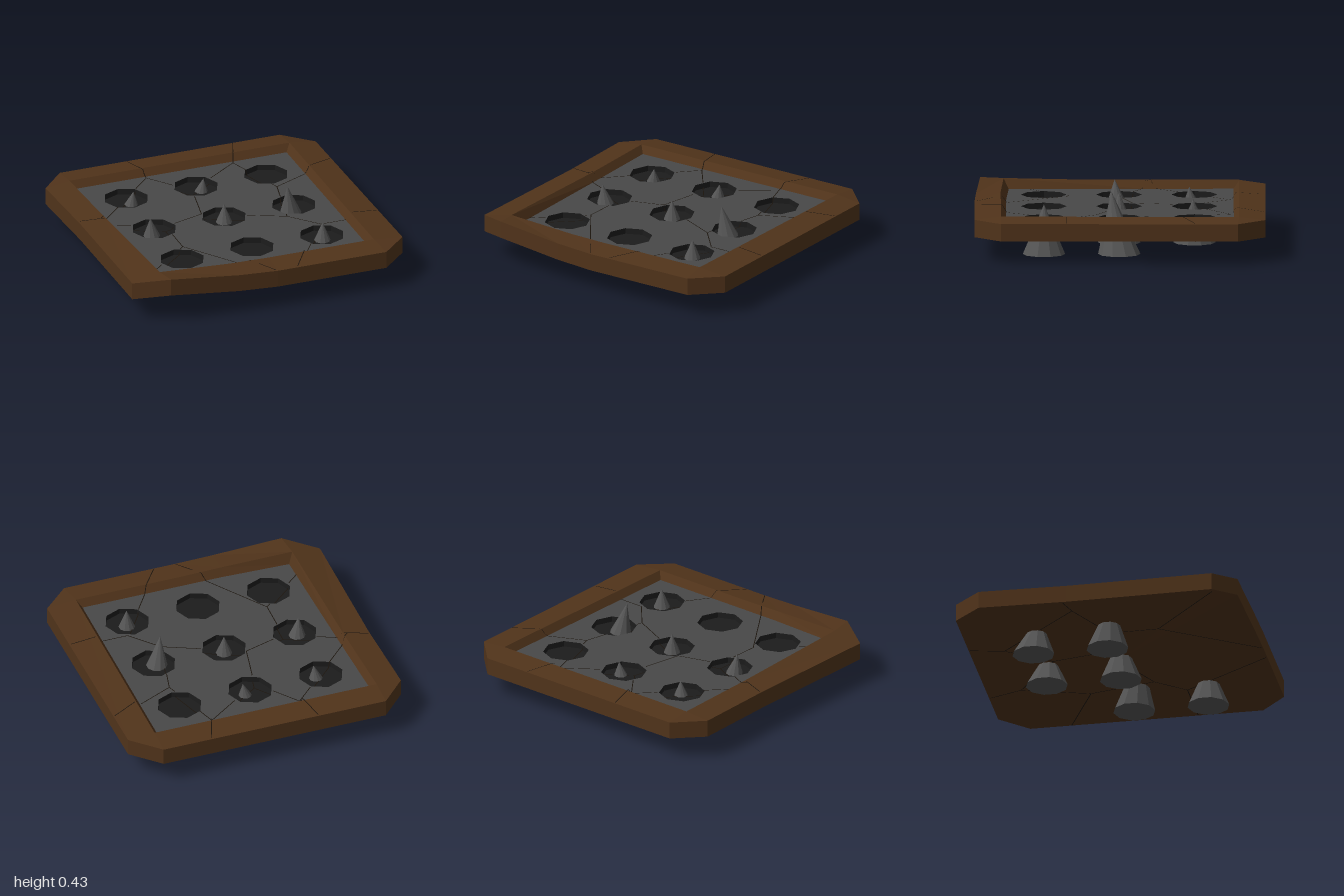
import * as THREE from 'three';

const PANEL_Y = 0.25, FLOOR_Y = 0.21, BOTTOM_Y = 0.16, HOLE_R = 0.157;
const GRID = [-0.515, 0, 0.515];

const material = (color, extra = {}) => new THREE.MeshStandardMaterial({ color, flatShading: true, ...extra });
const wood = material(0x50331a);
const stone = material(0x484848);
const pit = material(0x1c1c1c, { side: THREE.DoubleSide });
const metal = material(0x555555);
const crackDark = material(0x1a130c, { side: THREE.DoubleSide });

function addMesh(parent, name, geometry, mat) {
  const mesh = new THREE.Mesh(geometry, mat);
  mesh.name = name;
  parent.add(mesh);
  return mesh;
}

function fromPositions(positions) {
  const g = new THREE.BufferGeometry();
  g.setAttribute('position', new THREE.Float32BufferAttribute(positions, 3));
  g.computeVertexNormals();
  return g;
}

// Frame outline: outer x, z, lift of the warped corner, then inner x, z, lift
const OUTLINE = [
  [-0.81, -1, 0, -0.81, -0.82, 0], [0.81, -1, 0, 0.81, -0.82, 0],
  [1, -0.81, 0, 0.81, -0.82, 0], [0.99, 0.81, 0, 0.78, 0.81, 0],
  [0.8, 0.99, 0, 0.78, 0.81, 0], [0, 0.99, 0, 0, 0.81, 0],
  [-0.28, 0.98, 0.012, -0.28, 0.81, 0.005], [-0.77, 0.95, 0.052, -0.79, 0.79, 0.022],
  [-1, 0.81, 0.002, -0.79, 0.79, 0.022], [-0.98, -0.2, 0, -0.8, -0.2, 0],
  [-0.99, -0.81, 0, -0.81, -0.82, 0],
];

// Stacked loops: underside centre, outer bottom, outer top, inner lip, panel edge
function frameGeometry() {
  const rings = [
    OUTLINE.map(() => [0, BOTTOM_Y, 0]),
    OUTLINE.map(([x, z, l]) => [x, BOTTOM_Y + l, z]),
    OUTLINE.map(([x, z, l]) => [x, 0.28 + l, z]),
    OUTLINE.map(([, , , x, z, l]) => [x, 0.3 + l, z]),
    OUTLINE.map(([, , , x, z]) => [x * 0.955, PANEL_Y, z * 0.955]),
  ];
  const pos = [], n = OUTLINE.length;
  for (let r = 0; r < rings.length - 1; r++) {
    for (let i = 0; i < n; i++) {
      const j = (i + 1) % n, lo = rings[r], hi = rings[r + 1];
      pos.push(...lo[i], ...hi[i], ...hi[j]);
      if (r > 0) pos.push(...lo[i], ...hi[j], ...lo[j]);
    }
  }
  return fromPositions(pos);
}

// Panel with nine octagonal openings
function panelGeometry() {
  const shape = new THREE.Shape(OUTLINE.map(([, , , x, z]) => new THREE.Vector2(x * 0.955, -z * 0.955))
    .filter((p, i, all) => i === 0 || !all.slice(0, i).some(q => q.distanceTo(p) < 1e-6)));
  for (const x of GRID) for (const z of GRID) {
    const pts = [];
    for (let i = 0; i < 8; i++) {
      const a = i * Math.PI / 4;
      pts.push(new THREE.Vector2(x + HOLE_R * Math.cos(a), -z + HOLE_R * Math.sin(a)));
    }
    shape.holes.push(new THREE.Path(pts));
  }
  return new THREE.ShapeGeometry(shape).rotateX(-Math.PI / 2).translate(0, PANEL_Y, 0);
}

// Cone standing on the ground, its tip leaning by (dx, dz)
function spikeGeometry(height, dx, dz) {
  const g = new THREE.ConeGeometry(0.145, height, 10).translate(0, height / 2, 0);
  const p = g.attributes.position;
  for (let i = 0; i < p.count; i++) {
    const t = p.getY(i) / height;
    p.setX(i, p.getX(i) + dx * t);
    p.setZ(i, p.getZ(i) + dz * t);
  }
  g.computeVertexNormals();
  return g;
}

// Height of the upper surface, used to lay the cracks on it
function topY(x, z) {
  const m = Math.max(Math.abs(x), Math.abs(z));
  if (m > 0.8) return 0.3 - 0.1 * (m - 0.8);
  if (m > 0.77) return PANEL_Y + (m - 0.77) / 0.03 * 0.05;
  const inHole = GRID.some(a => GRID.some(b => Math.hypot(x - a, z - b) < HOLE_R - 0.006));
  return inHole ? FLOOR_Y : PANEL_Y;
}

// Narrow ribbon following a polyline across a surface
function crackGeometry(points, height) {
  const pos = [], half = 0.003;
  for (let k = 0; k < points.length - 1; k++) {
    const [x0, z0] = points[k], [x1, z1] = points[k + 1];
    const len = Math.hypot(x1 - x0, z1 - z0), steps = Math.ceil(len / 0.02);
    const nx = -(z1 - z0) / len * half, nz = (x1 - x0) / len * half;
    const at = (i, s) => {
      const x = x0 + (x1 - x0) * i / steps, z = z0 + (z1 - z0) * i / steps;
      return [x + nx * s, height(x, z), z + nz * s];
    };
    for (let i = 0; i < steps; i++) {
      pos.push(...at(i, -1), ...at(i, 1), ...at(i + 1, 1));
      pos.push(...at(i, -1), ...at(i + 1, 1), ...at(i + 1, -1));
    }
  }
  return fromPositions(pos);
}

const CRACKS = [
  [[-0.32, -0.99], [-0.27, -0.76], [-0.05, -0.46], [0.37, -0.76], [0.46, -0.99]],
  [[0.37, -0.76], [0.51, -0.3], [0.4, 0.16], [0.57, 0.36], [0.15, 0.98]],
  [[0.51, -0.3], [0.99, -0.52]],
  [[0.57, 0.36], [0.98, 0.36]],
  [[-0.05, -0.46], [-0.13, -0.09], [0.4, 0.16]],
  [[-0.13, -0.09], [-0.43, 0], [-0.83, -0.19], [-0.97, -0.23]],
  [[-0.83, -0.19], [-0.27, -0.76]],
  [[-0.43, 0], [-0.44, 0.34], [-0.97, 0.81]],
  [[-0.44, 0.34], [-0.01, 0.98]],
];

// Spikes: base x, z, height, tip lean x, z
const SPIKES = [
  [-0.515, -0.515, 0.31, 0.04, 0.035], [0, -0.515, 0.305, 0.05, 0.01],
  [-0.515, 0, 0.35, -0.04, 0.03], [0, 0, 0.345, 0, 0],
  [0.515, 0, 0.425, -0.07, 0.055], [0.515, 0.515, 0.345, 0.005, 0],
];

export function createModel() {
  const model = new THREE.Group();
  model.name = 'spikeTrap';

  addMesh(model, 'frame', frameGeometry(), wood);
  addMesh(model, 'panel', panelGeometry(), stone);

  // Recessed pits
  const pits = new THREE.Group();
  pits.name = 'pits';
  model.add(pits);
  const depth = PANEL_Y - FLOOR_Y;
  for (const x of GRID) for (const z of GRID) {
    const wall = new THREE.CylinderGeometry(HOLE_R, HOLE_R, depth, 8, 1, true);
    addMesh(pits, 'pitWall', wall, pit).position.set(x, FLOOR_Y + depth / 2, z);
    const floor = new THREE.CircleGeometry(HOLE_R, 8).rotateX(-Math.PI / 2);
    addMesh(pits, 'pitFloor', floor, pit).position.set(x, FLOOR_Y, z);
  }

  // Spikes pushed up through the plate
  const spikes = new THREE.Group();
  spikes.name = 'spikes';
  model.add(spikes);
  for (const [x, z, h, dx, dz] of SPIKES) {
    addMesh(spikes, 'spike', spikeGeometry(h, dx, dz), metal).position.set(x, 0, z);
  }

  // Fracture lines on the top and underside
  const cracks = new THREE.Group();
  cracks.name = 'cracks';
  model.add(cracks);
  for (const line of CRACKS) {
    addMesh(cracks, 'topCrack', crackGeometry(line, (x, z) => topY(x, z) + 0.002), crackDark);
    addMesh(cracks, 'undersideCrack', crackGeometry(line, () => BOTTOM_Y - 0.002), crackDark);
  }
  return model;
}
